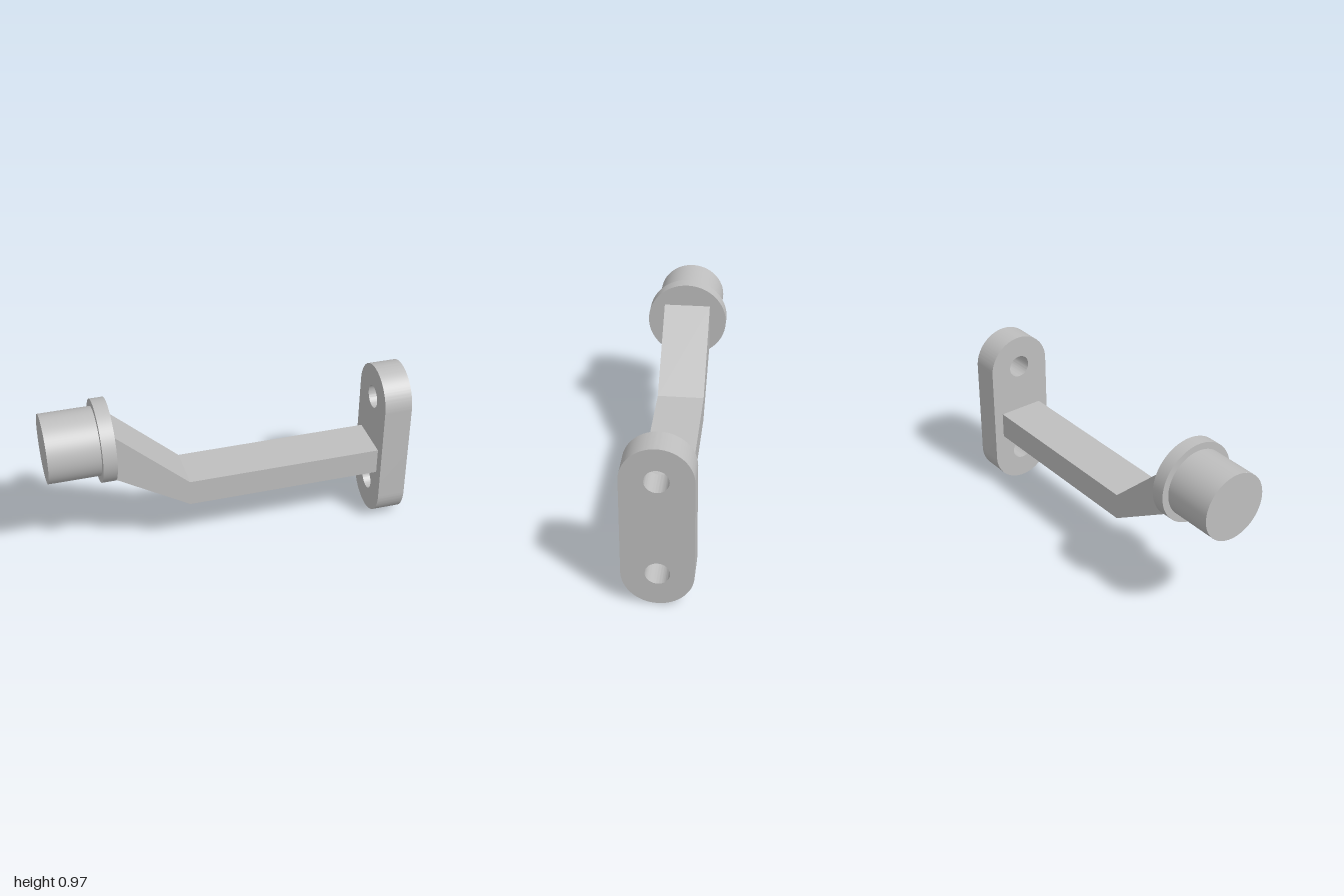
import * as THREE from 'three';
import { toCreasedNormals } from 'three/addons/utils/BufferGeometryUtils.js';
import { ParametricGeometry } from 'three/addons/geometries/ParametricGeometry.js';

export function createModel() {
  const group = new THREE.Group();
  group.name = 'offsetBracket';
  const steel = new THREE.MeshStandardMaterial({ color: 0xbebebe });
  steel.name = 'grey steel';
  const add = (name, geometry, parent = group) => {
    const mesh = new THREE.Mesh(geometry, steel);
    mesh.name = name;
    parent.add(mesh);
    return mesh;
  };

  const R = 0.187, lowY = 0.19, axisY = 0.748;

  // Mounting plate: rounded slot outline with two bolt holes
  const outline = new THREE.Shape();
  outline.absarc(0, axisY, R, 0, Math.PI);
  outline.absarc(0, lowY - 0.003, R, Math.PI, Math.PI * 2);
  outline.closePath();
  for (const y of [lowY, axisY]) {
    outline.holes.push(new THREE.Path().absarc(0, y, 0.064, 0, Math.PI * 2, true));
  }
  const plate = new THREE.ExtrudeGeometry(outline, { depth: 0.155, bevelEnabled: false, curveSegments: 40 });
  plate.rotateY(Math.PI / 2).translate(0.845, 0, 0);
  add('mountingPlate', toCreasedNormals(plate, 0.5));

  // Straight arm with a widening cranked end
  const profile = [[0.845, 0.32], [0.845, 0.47], [-0.24, 0.47], [-0.645, 0.845], [-0.645, 0.57], [-0.24, 0.32]];
  const armShape = new THREE.Shape(profile.map(([x, y]) => new THREE.Vector2(x, y)));
  const arm = new THREE.ExtrudeGeometry(armShape, { depth: 0.262, bevelEnabled: false });
  add('crankedArm', arm.translate(0, 0, -0.131));

  // Collar between arm and boss
  const collar = new THREE.CylinderGeometry(0.225, 0.225, 0.075, 80);
  add('collar', collar.rotateZ(Math.PI / 2).translate(-0.6825, axisY, 0));

  // Boss: cylinder side left open underneath, filled by a patch with a screw hole
  const boss = new THREE.Group();
  boss.name = 'boss';
  group.add(boss);
  const half = 0.14, midX = -0.86, holeR = 0.035, holeTop = 0.68;
  const gap = half / R;
  const side = new THREE.CylinderGeometry(R, R, half * 2, 64, 1, true, -Math.PI / 2 + gap, Math.PI * 2 - gap * 2);
  add('bossSide', side.rotateZ(Math.PI / 2).translate(midX, axisY, 0), boss);
  add('bossEnd', new THREE.CircleGeometry(R, 80).rotateY(-Math.PI / 2).translate(-1, axisY, 0), boss);

  // Wraps a flat point (along the axis, around the arc) onto the underside
  const wrap = (p, q, target) =>
    target.set(midX + p, axisY - R * Math.cos(q / R), R * Math.sin(q / R));
  add('bossUnderside', new ParametricGeometry((u, v, target) => {
    const a = -u * Math.PI * 2, c = Math.cos(a), s = Math.sin(a);
    const edge = half / Math.max(Math.abs(c), Math.abs(s));
    const k = holeR + (edge - holeR) * v;
    wrap(k * c, k * s, target);
  }, 64, 10), boss);
  add('screwHoleWall', new ParametricGeometry((u, v, target) => {
    const a = u * Math.PI * 2;
    wrap(holeR * Math.cos(a), holeR * Math.sin(a), target);
    target.y += (holeTop - target.y) * v;
  }, 64, 1), boss);
  add('screwHoleFloor', new THREE.CircleGeometry(holeR, 32).rotateX(Math.PI / 2).translate(midX, holeTop, 0), boss);

  return group;
}
